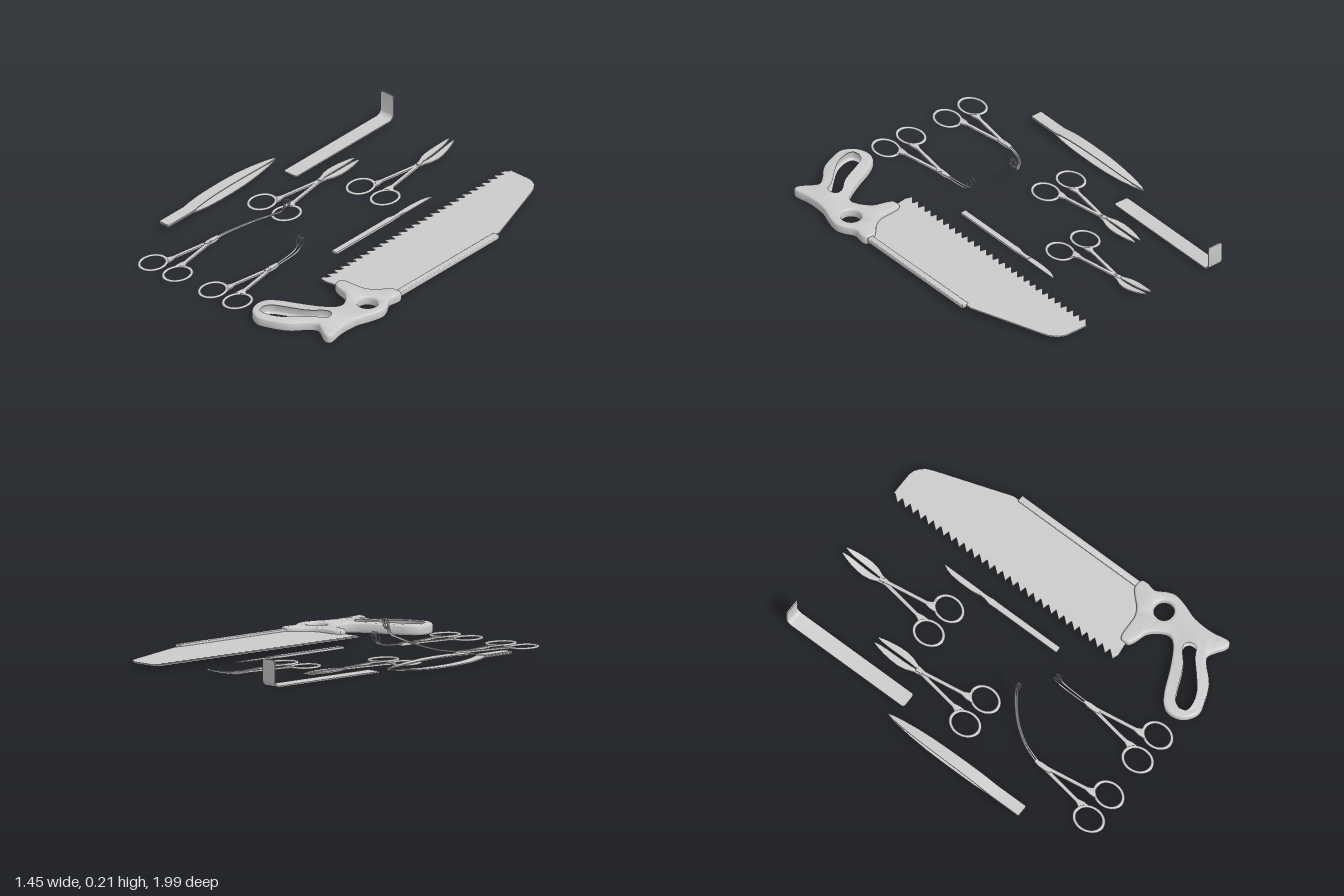
import * as THREE from 'three';
import { toCreasedNormals } from 'three/addons/utils/BufferGeometryUtils.js';

const material = new THREE.MeshStandardMaterial({ color: 0xcccccc, side: THREE.DoubleSide });
const V = (x, y, z) => new THREE.Vector3(x, y, z);

function add(parent, name, geometry) {
  const mesh = new THREE.Mesh(geometry, material);
  mesh.name = name;
  parent.add(mesh);
  return mesh;
}

function group(parent, name, x = 0, z = 0) {
  const g = new THREE.Group();
  g.name = name;
  g.position.set(x, 0, z);
  parent.add(g);
  return g;
}

// Plan outline of [x, z] points, straight or splined
function plan(points, smooth = false) {
  const v = points.map(([x, z]) => new THREE.Vector2(x, -z));
  return smooth ? new THREE.SplineCurve([...v, v[0]]).getPoints(points.length * 4).slice(0, -1) : v;
}

// Plan outline raised from y0 to y1
function slab(outline, y0, y1, bevel = 0, holes = []) {
  const shape = new THREE.Shape(outline);
  shape.holes = holes.map((h) => new THREE.Path(h));
  const geometry = new THREE.ExtrudeGeometry(shape, {
    depth: y1 - y0 - 2 * bevel, bevelEnabled: bevel > 0, bevelSize: bevel,
    bevelThickness: bevel, bevelOffset: -bevel, bevelSegments: 4,
  });
  geometry.rotateX(-Math.PI / 2).translate(0, y0 + bevel, 0);
  return toCreasedNormals(geometry, 0.6);
}

// Flat bar running towards -z through rows of [x0, x1, y, z], thickness t
function strip(rows, t) {
  const pos = [], index = [], n = rows.length;
  rows.forEach(([x0, x1, y, z], i) => {
    const a = rows[Math.max(i - 1, 0)], b = rows[Math.min(i + 1, n - 1)];
    const dy = b[2] - a[2], dz = b[3] - a[3], k = t / 2 / Math.hypot(dy, dz);
    const ny = -dz * k, nz = dy * k;
    const l = Math.min(x0, x1), r = Math.max(x0, x1);
    pos.push(l, y - ny, z - nz, r, y - ny, z - nz, r, y + ny, z + nz, l, y + ny, z + nz);
    if (i < n - 1) for (let j = 0; j < 4; j++) {
      const p = i * 4 + j, q = i * 4 + (j + 1) % 4;
      index.push(p, p + 4, q + 4, p, q + 4, q);
    }
  });
  const e = (n - 1) * 4;
  index.push(0, 1, 2, 0, 2, 3, e, e + 3, e + 2, e, e + 2, e + 1);
  const geometry = new THREE.BufferGeometry();
  geometry.setAttribute('position', new THREE.Float32BufferAttribute(pos, 3));
  geometry.setIndex(index);
  return toCreasedNormals(geometry, 0.6);
}

function tube(points, radius, closed = false) {
  return new THREE.TubeGeometry(new THREE.CatmullRomCurve3(points, closed), 40, radius, 8, closed);
}

function addSaw(root) {
  const saw = group(root, 'saw');
  // Toothed blade
  const outline = [[0.28, -0.99], [0.41, -0.99], [0.44, -0.982], [0.468, -0.963], [0.49, -0.935],
    [0.505, -0.9], [0.645, -0.49], [0.65, 0.42], [0.4, 0.455], [0.285, 0.47]];
  const teeth = 29, pitch = 1.45 / teeth;
  for (let i = teeth; i > 0; i--) {
    const z = -0.985 + i * pitch;
    outline.push([0.25, z - 0.15 * pitch], [0.285, z - pitch]);
  }
  add(saw, 'sawBlade', slab(plan(outline), 0.026, 0.034));
  add(saw, 'bladeSpine', slab(plan([[0.635, -0.455], [0.672, -0.455], [0.672, 0.36], [0.635, 0.36]]), 0.018, 0.045, 0.005));
  // Handle with grip loop and round hole
  const body = plan([[0.358, 0.43], [0.39, 0.415], [0.496, 0.409], [0.549, 0.383], [0.596, 0.335],
    [0.628, 0.311], [0.677, 0.314], [0.686, 0.351], [0.678, 0.404], [0.708, 0.457], [0.724, 0.51],
    [0.708, 0.584], [0.681, 0.664], [0.676, 0.77], [0.692, 0.865], [0.676, 0.891], [0.644, 0.886],
    [0.596, 0.854], [0.559, 0.838], [0.517, 0.865], [0.443, 0.939], [0.347, 0.981], [0.279, 0.994],
    [0.215, 0.955], [0.189, 0.891], [0.204, 0.828], [0.268, 0.78], [0.374, 0.732], [0.48, 0.674],
    [0.527, 0.621], [0.512, 0.568], [0.464, 0.515], [0.4, 0.494], [0.363, 0.473]], true);
  const grip = plan([[0.226, 0.897], [0.252, 0.849], [0.321, 0.812], [0.427, 0.764], [0.496, 0.706],
    [0.543, 0.695], [0.575, 0.727], [0.57, 0.775], [0.517, 0.807], [0.453, 0.865], [0.374, 0.928],
    [0.295, 0.955], [0.242, 0.944]], true);
  const hole = new THREE.Path().absarc(0.617, -0.51, 0.053, 0, Math.PI * 2).getPoints(24).slice(0, -1);
  add(saw, 'sawHandle', slab(body, 0, 0.056, 0.014, [grip, hole]));
}

// Two crossed arms with finger rings, pivot at the group origin
function addHandles(tool) {
  for (const s of [1, -1]) {
    const y = s * 0.001;
    const arm = [[-0.012, -0.03], [0.004, -0.04], [0.014, 0], [0.05, 0.235], [0.064, 0.262], [0.09, 0.266],
      [0.07, 0.274], [0.04, 0.297], [0.026, 0.31], [0.024, 0.27], [0.03, 0.235], [-0.006, 0]];
    add(tool, 'arm', slab(plan(arm.map(([x, z]) => [s * x, z])), 0.011 + y, 0.022 + y, 0.002));
    const ring = new THREE.TorusGeometry(0.073, 0.0085, 8, 40);
    ring.rotateX(Math.PI / 2).scale(0.89, 0.75, 1.11);
    ring.rotateY(-s * 0.08).translate(s * 0.084, 0.0165, 0.348);
    add(tool, 'fingerRing', ring);
  }
  add(tool, 'pivotScrew', new THREE.CylinderGeometry(0.008, 0.008, 0.018, 16).translate(0, 0.017, 0));
}

function addScissors(root, name, x, z, length, rise) {
  const tool = group(root, name, x, z);
  addHandles(tool);
  // Leaf-shaped blades, optionally curving upwards
  const profile = [[-0.008, 0.014, -0.08], [0.002, 0.022, 0.12], [0.005, 0.038, 0.27], [0.006, 0.045, 0.42],
    [0.006, 0.044, 0.58], [0.006, 0.038, 0.74], [0.008, 0.03, 0.88], [0.014, 0.02, 1]];
  for (const s of [1, -1]) add(tool, 'cuttingBlade', strip(profile.map(([a, b, t]) =>
    [s * a, s * b, 0.0165 + s * 0.001 + rise * Math.max(t, 0) ** 2.2, -t * length]), 0.007));
}

// Ring-tipped clamp: path is the middle line of the jaws, u and v the loop half-axes
function addClamp(root, name, x, z, path, side, centre, u, v) {
  const tool = group(root, name, x, z);
  addHandles(tool);
  add(tool, 'boxLock', strip([[-0.008, 0.008, 0.017, 0.035], [-0.014, 0.014, 0.017, 0.01],
    [-0.014, 0.014, 0.017, -0.03], [-0.008, 0.008, 0.018, -0.065]], 0.016));
  for (const s of [1, -1]) {
    const shift = (p, t) => p.clone().add(V(-1, 0, 0).lerp(side, t).multiplyScalar(s * (0.006 + 0.005 * t * -side.x)));
    add(tool, 'jaw', tube(path.map((p, i) => shift(p, i / (path.length - 1))), 0.0045));
    const loop = [];
    for (let i = 0; i < 12; i++) {
      const a = i / 12 * Math.PI * 2;
      loop.push(shift(centre.clone().addScaledVector(u, Math.cos(a)).addScaledVector(v, Math.sin(a)), 1));
    }
    add(tool, 'jawLoop', tube(loop, 0.003, true));
  }
}

function addTweezers(root) {
  const tool = group(root, 'tweezers', -0.698);
  // Rows of half width, half opening, z
  const rows = [[0.03, 0.004, 0.603], [0.033, 0.004, 0.595], [0.033, 0.004, 0.41], [0.033, 0.012, 0.37],
    [0.033, 0.021, 0.3], [0.032, 0.026, 0.2], [0.031, 0.027, 0.1], [0.029, 0.025, 0],
    [0.024, 0.019, -0.1], [0.016, 0.011, -0.19], [0.009, 0.006, -0.24], [0.002, 0.003, -0.268]];
  for (const s of [1, -1]) add(tool, 'tweezerArm', strip(rows.map(([w, o, z]) => [-w, w, 0.04 + s * o, z]), 0.006));
}

function addRetractor(root) {
  const l = -0.613, r = -0.525, rows = [[l + 0.012, r - 0.012, 0.014, -0.235], [l + 0.003, r - 0.003, 0.014, -0.239], [l, r, 0.014, -0.248]];
  for (let i = 0; i <= 8; i++) {
    const a = i / 8 * Math.PI / 2;
    rows.push([l, r, 0.049 - 0.035 * Math.cos(a), -0.961 - 0.035 * Math.sin(a)]);
  }
  rows.push([l, r, 0.142, -0.996], [l + 0.003, r - 0.003, 0.151, -0.996], [l + 0.012, r - 0.012, 0.155, -0.996]);
  add(root, 'retractor', strip(rows, 0.007));
}

function addScalpel(root) {
  const tool = group(root, 'scalpel');
  add(tool, 'scalpelHandle', strip([[0.104, 0.137, 0.017, 0.205], [0.104, 0.137, 0.017, -0.2], [0.102, 0.138, 0.017, -0.23],
    [0.112, 0.134, 0.017, -0.27], [0.113, 0.134, 0.017, -0.3], [0.107, 0.135, 0.017, -0.33]], 0.012));
  add(tool, 'scalpelBlade', strip([[0.108, 0.136, 0.017, -0.3], [0.104, 0.137, 0.017, -0.36], [0.104, 0.137, 0.017, -0.42],
    [0.109, 0.137, 0.017, -0.48], [0.12, 0.137, 0.017, -0.52], [0.135, 0.137, 0.017, -0.548]], 0.005));
}

export function createModel() {
  const root = new THREE.Group();
  root.name = 'surgicalTools';
  addSaw(root);
  addScissors(root, 'curvedScissors', -0.128, -0.729, 0.265, 0.036);
  addScissors(root, 'straightScissors', -0.407, -0.277, 0.293, 0);
  addClamp(root, 'straightClamp', -0.02, 0.547,
    [V(0, 0.018, -0.02), V(0, 0.02, -0.1), V(0, 0.026, -0.17), V(0, 0.036, -0.21), V(0, 0.05, -0.225)],
    V(-1, 0, 0), V(0, 0.076, -0.236), V(0, 0.026, -0.009), V(0, 0.005, 0.014));
  addClamp(root, 'curvedClamp', -0.431, 0.547,
    [V(0, 0.018, -0.04), V(0.011, 0.027, -0.087), V(0.037, 0.04, -0.159), V(0.09, 0.068, -0.243),
      V(0.153, 0.1, -0.307), V(0.193, 0.124, -0.339), V(0.207, 0.154, -0.345)],
    V(0, 0, -1), V(0.221, 0.179, -0.347), V(0.008, 0.026, 0), V(0.015, -0.004, 0));
  addTweezers(root);
  addRetractor(root);
  addScalpel(root);
  return root;
}
